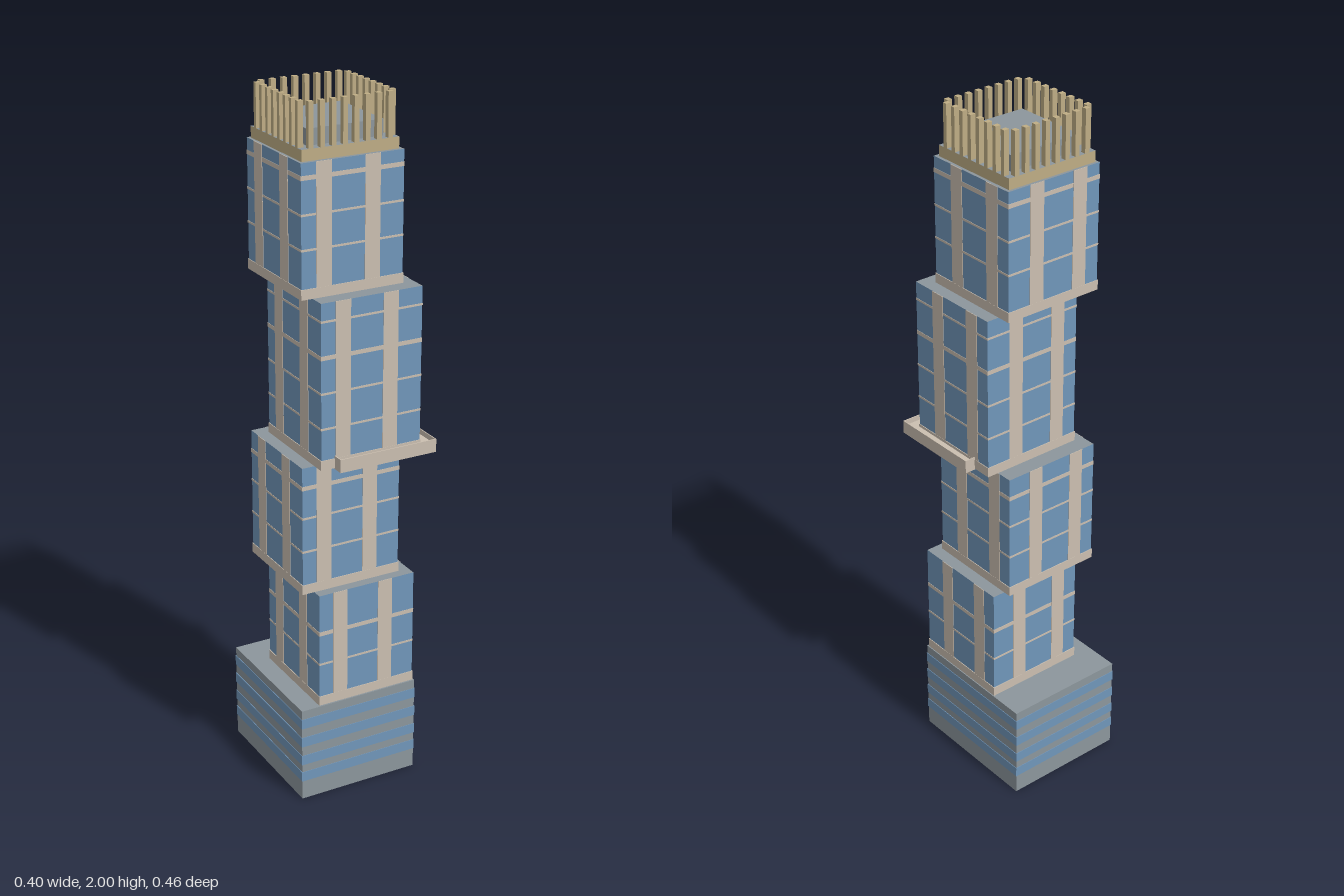
import * as THREE from 'three';

const mat = (name, color, side = THREE.FrontSide) => {
  const m = new THREE.MeshStandardMaterial({ color, side });
  m.name = name;
  return m;
};

export function createModel() {
  const glass = mat('blue glass', 0x7096ba);
  const stone = mat('beige stone', 0xcbbfb0);
  const grey = mat('grey concrete', 0x8c969c, THREE.DoubleSide);
  const tan = mat('tan metal', 0xbfad85);
  const root = new THREE.Group();
  root.name = 'tower';

  // Box given by its limits on each axis
  const box = (parent, name, material, x0, x1, y0, y1, z0, z1) => {
    const m = new THREE.Mesh(new THREE.BoxGeometry(x1 - x0, y1 - y0, z1 - z0), material);
    m.position.set((x0 + x1) / 2, (y0 + y1) / 2, (z0 + z1) / 2);
    m.name = name;
    parent.add(m);
    return m;
  };
  const group = (name) => {
    const g = new THREE.Group();
    g.name = name;
    root.add(g);
    return g;
  };
  // Thin band on all four walls of a rectangle, t thick and standing outside it
  const band = (parent, name, material, [x0, x1, z0, z1], y0, y1, t) => {
    box(parent, name, material, x0 - t, x1 + t, y0, y1, z1, z1 + t);
    box(parent, name, material, x0 - t, x1 + t, y0, y1, z0 - t, z0);
    box(parent, name, material, x1, x1 + t, y0, y1, z0, z1);
    box(parent, name, material, x0 - t, x0, y0, y1, z0, z1);
  };
  // Box side order: +x, -x, top, bottom, +z, -z
  const capped = (side, top) => [side, side, top, side, side, side];

  // Podium: hollow shell open at the bottom, with window stripes
  const podium = group('podium');
  const P = [-0.197, 0.169, -0.23, 0.187];
  const shell = box(podium, 'podiumShell', grey, P[0], P[1], 0, 0.287, P[2], P[3]);
  const index = Array.from(shell.geometry.index.array);
  index.splice(18, 6);
  shell.geometry.setIndex(index);
  shell.geometry.clearGroups();
  for (const y of [0.073, 0.127, 0.186, 0.245]) {
    band(podium, 'podiumWindowStripe', glass, P, y - 0.015, y + 0.015, 0.0015);
  }

  // Shifted tower blocks: rectangle, bottom, top, floor line heights (first is thick)
  const tiers = [
    { r: [-0.137, 0.164, -0.124, 0.18], y0: 0.287, y1: 0.632, lines: [0.513, 0.417] },
    { r: [-0.174, 0.127, -0.149, 0.154], y0: 0.635, y1: 1.013, lines: [0.953, 0.863, 0.763] },
    { r: [-0.14, 0.164, -0.104, 0.199], y0: 1.018, y1: 1.486, lines: [1.335, 1.435, 1.235, 1.135] },
    { r: [-0.174, 0.127, -0.145, 0.157], y0: 1.488, y1: 1.849, lines: [1.81, 1.713, 1.62] },
  ];
  tiers.forEach(({ r, y0, y1, lines }, i) => {
    const g = group('towerBlock' + (i + 1));
    const [x0, x1, z0, z1] = r;
    const slabTop = y0 + 0.028;
    box(g, 'floorSlab', stone, x0 - 0.002, x1 + 0.002, y0, slabTop, z0 - 0.002, z1 + 0.002);
    box(g, 'glassBlock', capped(glass, grey), x0, x1, slabTop, y1, z0, z1);
    // Wall piers, at the same offsets on facing walls
    const t = 0.0015;
    for (const o of [0.043, 0.186]) {
      const w = 0.045;
      for (const z of [z0 - t, z1]) box(g, 'pier', stone, x0 + o, x0 + o + w, slabTop, y1, z, z + t);
      for (const x of [x0 - t, x1]) box(g, 'pier', stone, x, x + t, slabTop, y1, z0 + o, z0 + o + w);
    }
    lines.forEach((y, k) => {
      const h = k === 0 ? 0.006 : 0.003;
      band(g, 'floorLine', stone, r, y - h, y + h, 0.001);
    });
  });

  // Overhanging terrace with a low rim
  const terrace = group('terrace');
  box(terrace, 'terraceSlab', stone, -0.1, 0.197, 1.015, 1.038, -0.048, 0.232);
  band(terrace, 'terraceRim', stone, [-0.097, 0.194, -0.045, 0.229], 1.038, 1.053, 0.003);

  // Crown: curb, plant room and a ring of posts
  const crown = group('crown');
  const C = [-0.166, 0.118, -0.137, 0.146];
  box(crown, 'curb', capped(tan, grey), C[0], C[1], 1.849, 1.88, C[2], C[3]);
  box(crown, 'plantRoom', grey, -0.135, 0.087, 1.88, 1.924, -0.107, 0.117);
  const post = (x, z, w, d) =>
    box(crown, 'post', tan, x - w / 2, x + w / 2, 1.88, 2, z - d / 2, z + d / 2);
  for (let i = 0; i < 8; i++) {
    const s = i * 0.0329;
    for (const z of [-0.129, 0.138]) post(-0.138 + s, z, 0.014, 0.015);
    for (const x of [-0.158, 0.11]) post(x, -0.111 + s, 0.016, 0.013);
  }
  return root;
}
